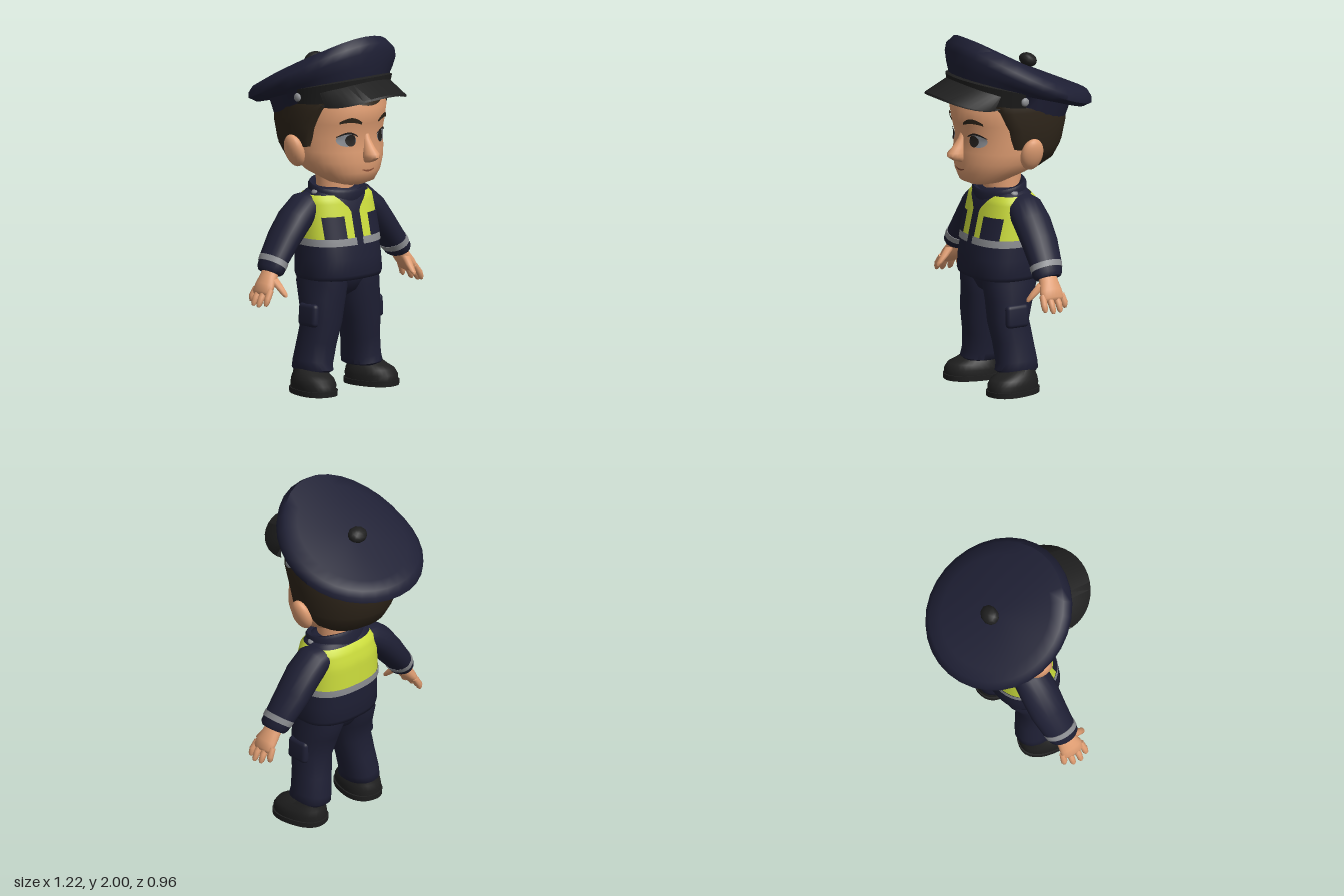
import * as THREE from 'three';
import { toCreasedNormals } from 'three/addons/utils/BufferGeometryUtils.js';
import { RoundedBoxGeometry } from 'three/addons/geometries/RoundedBoxGeometry.js';

const V = (x, y, z) => new THREE.Vector3(x, y, z);
const span = (a, b, n) => Array.from({ length: n + 1 }, (_, i) => a + (b - a) * i / n);
const TAU = Math.PI * 2;
const pw = (v, e) => Math.sign(v) * Math.abs(v) ** e;

function finish(g, crease = 1) {
  g = g.index ? g.toNonIndexed() : g;
  g.deleteAttribute('uv');
  return toCreasedNormals(g.scale(20, 20, 20), crease).scale(0.05, 0.05, 0.05);
}

// Surface through rows of points; rows run "up", points run counter-clockwise
function skin(rows, crease) {
  const pos = [];
  const tri = (a, b, c) => {
    if (b.clone().sub(a).cross(c.clone().sub(a)).length() > 1e-9) pos.push(...a, ...b, ...c);
  };
  for (let i = 0; i < rows.length - 1; i++) {
    for (let j = 0; j < rows[i].length - 1; j++) {
      const [a, b, c, d] = [rows[i][j], rows[i][j + 1], rows[i + 1][j + 1], rows[i + 1][j]];
      tri(a, b, c);
      tri(a, c, d);
    }
  }
  const g = new THREE.BufferGeometry();
  g.setAttribute('position', new THREE.Float32BufferAttribute(pos, 3));
  return finish(g, crease);
}

// Closes both ends of a stack of rings
function capped(rows) {
  const end = r => {
    const c = V(0, 0, 0);
    r.slice(1).forEach(p => c.add(p));
    c.divideScalar(r.length - 1);
    return r.map(() => c);
  };
  return [end(rows[0]), ...rows, end(rows[rows.length - 1])];
}

// Limb through [x, y, z, half width, half depth]
function limb(path, n = 20, e = 1) {
  const rows = path.map((p, i) => {
    const a = path[Math.max(i - 1, 0)], b = path[Math.min(i + 1, path.length - 1)];
    const w = V(b[1] - a[1], a[0] - b[0], 0).normalize();
    return span(0, TAU, n).map(t => V(p[0], p[1], p[2] + p[4] * pw(Math.cos(t), e))
      .addScaledVector(w, p[3] * pw(Math.sin(t), e)));
  });
  return skin(capped(rows));
}

// Interpolates rows of [y, centre z, half width, half depth]
function rowAt(rows, y) {
  let i = 0;
  while (i < rows.length - 2 && y > rows[i + 1][0]) i++;
  const k = (y - rows[i][0]) / (rows[i + 1][0] - rows[i][0]);
  return rows[i].map((v, j) => v + (rows[i + 1][j] - v) * k);
}
const stack = (rows, x = 0, n = 36, e = 1) => limb(rows.map(([y, z, rx, rz]) => [x, y, z, rx, rz]), n, e);

const HEAD = [[1.165, .17, .07, .06], [1.185, .155, .14, .12], [1.24, .09, .21, .205], [1.3, .045, .25, .255],
  [1.36, .035, .262, .262], [1.44, .03, .262, .258], [1.52, .035, .265, .275], [1.6, .035, .27, .29], [1.72, .0, .265, .27]];
const TORSO = [[.63, .055, .22, .165], [.637, .055, .243, .188], [.66, .055, .25, .195], [.75, .05, .245, .195],
  [.85, .04, .24, .185], [1.0, .025, .23, .165], [1.08, .025, .22, .145], [1.12, .03, .18, .115], [1.14, .03, .13, .09]];
const headZ = (x, y) => {
  const [, z, rx, rz] = rowAt(HEAD, y);
  return z + rz * Math.sqrt(1 - (x / rx) ** 2);
};
const torsoPoint = (a, y, off) => {
  const [, z, rx, rz] = rowAt(TORSO, y);
  return V((rx + off) * pw(Math.sin(a), .8), y, z + (rz + off) * pw(Math.cos(a), .8));
};
const torsoAngle = (x, y) => Math.asin(pw(x / rowAt(TORSO, y)[2], 1.25));

// Thin panel on the jacket, between two angles that may vary with height
const panel = (y0, y1, a0, a1, off) => skin(span(y0, y1, 10).map(y =>
  span(a0(y), a1(y), 30).map(a => torsoPoint(a, y, off))));
// Thin painted shapes on the face
const faceStrip = (x0, x1, mid, h, off) => skin([-1, 1].map(s => span(x0, x1, 10).map((x, i) => {
  const y = mid(i / 10) + s * h * (.45 + .55 * Math.sin(Math.PI * i / 10));
  return V(x, y, headZ(x, y) + off);
})));
function faceDisc(x, y, rx, ry, off) {
  const g = new THREE.CircleGeometry(1, 20).scale(rx, ry, 1).translate(x, y, 0);
  const p = g.attributes.position;
  for (let i = 0; i < p.count; i++) p.setZ(i, headZ(p.getX(i), p.getY(i)) + off);
  return finish(g);
}
const blob = (x, y, z, rx, ry, rz, tilt = 0) => finish(
  new THREE.SphereGeometry(1, 20, 14).scale(rx, ry, rz).rotateZ(tilt).translate(x, y, z));
// Tilted ring from [front z, front y, back z, back y, half width, droop of the sides]
const capRing = ([fz, fy, bz, by, rx, sag = 0], a0 = 0, a1 = TAU, n = 32) => span(a0, a1, n).map(a => {
  const k = (1 + Math.cos(a)) / 2;
  return V(rx * Math.sin(a), by + (fy - by) * k - sag * Math.sin(a) ** 2, bz + (fz - bz) * k);
});

function mirrored(g) {
  const m = g.clone();
  for (const name of ['position', 'normal']) {
    const s = g.attributes[name], t = m.attributes[name];
    for (let i = 0; i < s.count; i++) {
      const k = i - (i % 3) + 2 - (i % 3);
      t.setXYZ(i, -s.getX(k), s.getY(k), s.getZ(k));
    }
  }
  return m;
}

export function createModel() {
  const model = new THREE.Group();
  model.name = 'officer';
  const mat = (name, color, open) => {
    const m = new THREE.MeshStandardMaterial({ color });
    m.name = name;
    if (open) m.side = THREE.DoubleSide;
    return m;
  };
  const navy = mat('navy cloth', 0x1e1f34, true), black = mat('black leather', 0x1f1f1f, true);
  const skinTone = mat('skin', 0xdf9d72), hair = mat('dark brown hair', 0x2e251a, true);
  const yellow = mat('reflective yellow', 0xcbdc3c, true), grey = mat('reflective grey', 0x8a8c90, true);
  const white = mat('eye white', 0x8d9096), dark = mat('iris', 0x25211f), lip = mat('lip', 0x8c5139);
  const add = (name, geo, m) => {
    const mesh = new THREE.Mesh(geo, m);
    mesh.name = name;
    model.add(mesh);
  };
  const pair = (name, geo, m) => {
    add(name + 'Left', geo, m);
    add(name + 'Right', mirrored(geo), m);
  };

  // Head and face
  add('head', stack(HEAD), skinTone);
  add('neck', stack([[1.06, .03, .11, .1], [1.27, .03, .11, .11]]), skinTone);
  add('nose', stack([[1.298, .29, .022, .02], [1.31, .305, .034, .04], [1.332, .32, .042, .056],
    [1.352, .318, .04, .056], [1.38, .3, .03, .045], [1.43, .28, .022, .025], [1.48, .27, .015, .015]], 0, 20), skinTone);
  add('mouth', faceStrip(-.045, .045, t => 1.252 + .036 * (t - .5) ** 2, .005, .005), lip);
  pair('ear', blob(.285, 1.36, .005, .042, .095, .068, -.3), skinTone);
  pair('eye', faceDisc(.128, 1.432, .05, .036, .005), white);
  pair('iris', faceDisc(.11, 1.43, .028, .033, .008), dark);
  pair('eyelid', faceStrip(.07, .18, t => 1.45 + .022 * Math.sin(Math.PI * t), .006, .009), dark);
  pair('eyebrow', faceStrip(.06, .175, t => 1.525 + .022 * Math.sin(Math.PI * t * .9), .014, .009), hair);

  // Hair wraps the back and sides; its front edge is tucked to the head
  const hairRows = [[1.23, -.05, .1, .08, 1.6], [1.25, -.05, .165, .14, 1.6], [1.3, -.04, .235, .22, 1.6],
    [1.37, -.02, .278, .28, 1.5], [1.39, -.01, .285, .3, 1.1], [1.5, -.01, .3, .325, 1.05],
    [1.6, 0, .305, .33, .9], [1.66, .01, .3, .31, .75], [1.7, .04, .28, .26, .6]];
  add('hair', skin(hairRows.map(([y, z, rx, rz, a0]) => span(a0, TAU - a0, 30).map((a, j) => {
    const k = j % 30 ? 1 : .9;
    return V(rx * k * Math.sin(a), y, z + rz * k * Math.cos(a));
  }))), hair);
  add('hairUnderside', stack([[1.225, -.06, .09, .07], [1.27, -.06, .18, .14]]), hair);
  add('forelock', skin([0, 1].map(v => span(-.14, .14, 14).map(x => {
    const y = v ? 1.715 : 1.62 + .04 * (x / .14) ** 2;
    return V(x, y, headZ(x, y) + .008);
  }))), hair);

  // Peaked cap
  add('cap', skin(capped([[.3, 1.68, -.33, 1.5, .3], [.32, 1.78, -.36, 1.575, .32], [.328, 1.85, -.44, 1.55, .368, .02],
    [.328, 1.92, -.482, 1.575, .406, .045], [.318, 1.965, -.482, 1.605, .406, .05], [.275, 2.0, -.462, 1.64, .375, .05],
    [.2, 1.965, -.4, 1.668, .31, .025]].map(r => capRing(r)))), navy);
  add('capBand', skin([[.315, 1.65, -.34, 1.6, .31], [.338, 1.78, -.34, 1.62, .33], [.31, 1.79, -.32, 1.63, .3]]
    .map(r => capRing(r, -1.37, 1.37))), black);
  add('capTopButton', finish(new THREE.SphereGeometry(1, 10, 8).scale(.06, .038, .05).rotateX(-.46)
    .translate(0, 1.82, -.14)), black);
  pair('capSideButton', blob(.322, 1.672, .07, .014, .024, .024), grey);
  const bandZ = b => .04 + .28 * Math.sqrt(1 - (.27 * Math.sin(b) / .32) ** 2);
  const visorArc = (y, drop, zf) => span(-Math.PI / 2, Math.PI / 2, 20).map(b =>
    V(.265 * Math.sin(b), y - drop * Math.sin(b) ** 2, zf(b)));
  add('visor', skin([visorArc(1.665, .03, bandZ), visorArc(1.688, .06, b => .23 + .25 * Math.cos(b)),
    visorArc(1.7, .065, b => .23 + .245 * Math.cos(b)), visorArc(1.765, .06, bandZ)], .7), black);

  // Jacket with reflective panels
  add('jacket', stack(TORSO, 0, 40, .8), navy);
  const vestInner = y => torsoAngle(y < 1.02 ? .03 : .03 + (y - 1.02) * 1.0, y);
  pair('vestPanel', panel(.865, 1.105, vestInner, () => Math.PI, .005), yellow);
  pair('waistStripe', panel(.828, .868, y => torsoAngle(.022, y), () => Math.PI, .008), grey);
  pair('chestPocket', panel(.868, .99, y => torsoAngle(.083, y), y => torsoAngle(.198, y), .01), navy);
  pair('shoulderButton', blob(.17, 1.122, .05, .022, .012, .022, -.6), grey);
  add('collar', skin([[.17, 1.05, -.1, 1.08, .165], [.185, 1.11, -.095, 1.165, .178], [.175, 1.125, -.085, 1.182, .17],
    [.15, 1.115, -.06, 1.17, .135], [.14, 1.06, -.05, 1.1, .12]].map(r => capRing(r))), navy);

  // Sleeves and hands
  pair('sleeve', limb([[.12, 1.06, 0, .06, .09], [.2, 1.035, 0, .085, .105], [.28, .97, 0, .086, .11],
    [.36, .875, 0, .08, .106], [.44, .775, .01, .07, .095], [.478, .718, .02, .066, .088],
    [.487, .702, .02, .055, .075]]), navy);
  pair('sleeveStripe', limb([[.444, .77, .012, .073, .097], [.463, .742, .016, .071, .094]]), grey);
  pair('palm', limb([[.465, .73, .02, .038, .05], [.5, .675, .025, .04, .058], [.53, .635, .03, .037, .068],
    [.555, .6, .03, .028, .07], [.562, .588, .03, .016, .055]]), skinTone);
  [-.028, .01, .05, .088].forEach((z, i) => {
    const d = [.03, .005, 0, .015][i], zz = z + (z - .03) * .15;
    pair('finger' + (i + 1), limb([[.54, .62, z, .018, .02], [.577 - d * .4, .575, zz, .018, .019],
      [.596 - d, .54 + d * .6, zz, .016, .016], [.602 - d, .527 + d * .6, zz, .007, .008]], 10), skinTone);
  });
  pair('thumb', limb([[.495, .675, .06, .026, .03], [.487, .63, .105, .022, .025], [.483, .597, .138, .018, .018],
    [.482, .582, .148, .008, .009]], 10), skinTone);

  // Trousers
  add('hips', stack([[.53, .05, .04, .07], [.56, .05, .11, .115], [.62, .05, .2, .145], [.68, .05, .22, .16]]), navy);
  pair('trouserLeg', limb([[.115, .68, .05, .115, .155], [.12, .6, .05, .118, .157], [.13, .52, .06, .12, .135],
    [.145, .4, .075, .108, .115], [.163, .28, .055, .1, .115], [.18, .17, .042, .1, .118],
    [.185, .13, .045, .1, .124], [.185, .115, .045, .088, .108]], 20, .9), navy);
  pair('cargoPocket', finish(new RoundedBoxGeometry(.05, .13, .14, 3, .024).rotateZ(.06).translate(.24, .44, .075)), navy);

  // Shoes, toes turned slightly out
  const turn = g => g.translate(-.2, 0, -.03).rotateY(.22).translate(.2, 0, .03);
  pair('sole', turn(stack([[0, .09, .112, .162], [.03, .09, .113, .164]], .205, 28, .85)), black);
  pair('shoe', turn(stack([[.028, .09, .106, .157], [.06, .09, .108, .158], [.09, .083, .102, .144],
    [.11, .065, .09, .117], [.14, .04, .075, .09]], .205, 28, .9)), black);
  return model;
}
